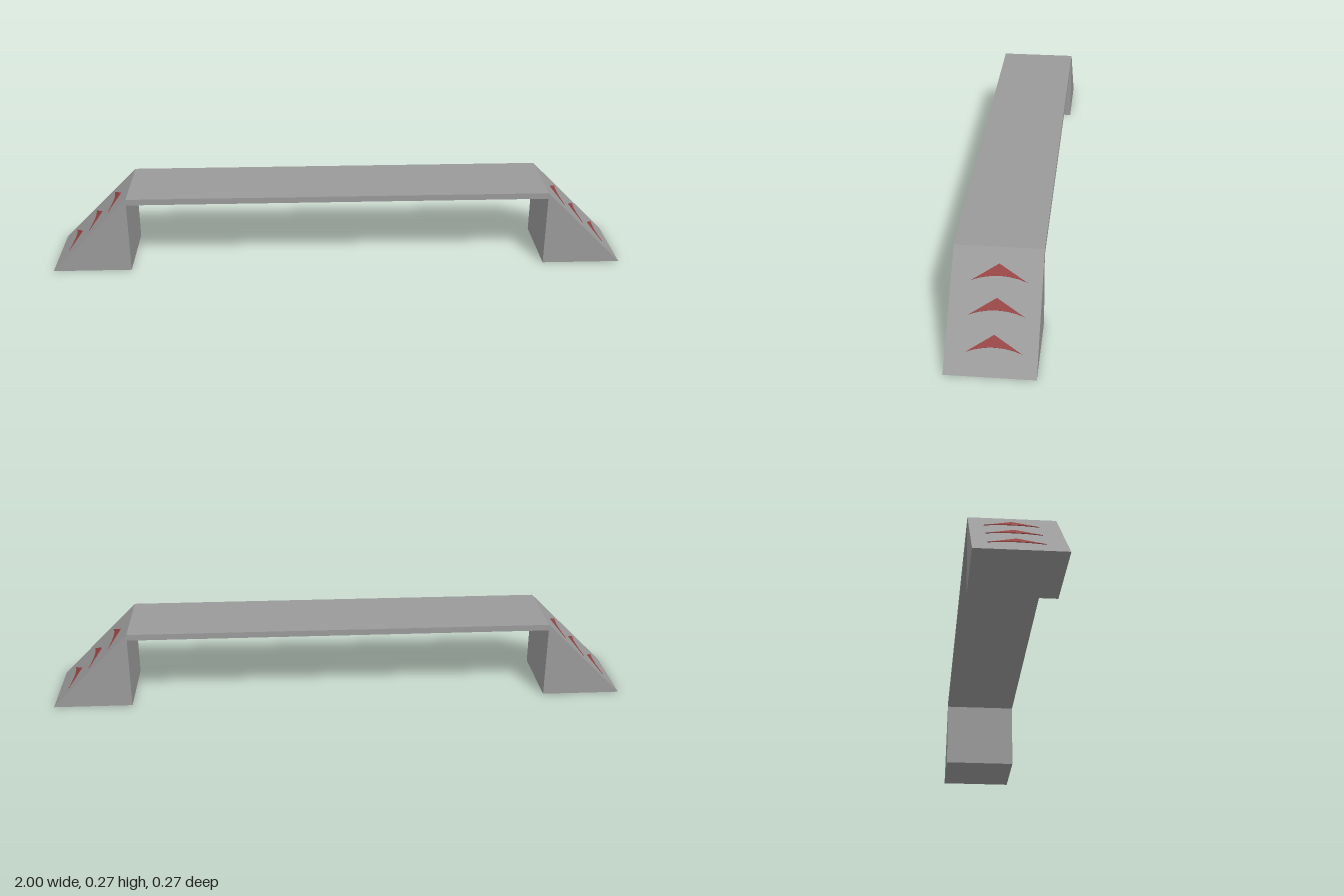
import * as THREE from 'three';

const HEIGHT = 0.27, DEPTH = 0.272, INNER = 0.728, DECK = 0.021;
const RUN = 1 - INNER;
const grey = new THREE.MeshStandardMaterial({ color: 0x9a9a9a, flatShading: true });
const red = new THREE.MeshStandardMaterial({ color: 0x964545, flatShading: true });

// Triangular wedge rising from the outer end to the deck
function ramp(side) {
  const shape = new THREE.Shape([
    new THREE.Vector2(side, 0),
    new THREE.Vector2(side * INNER, HEIGHT),
    new THREE.Vector2(side * INNER, 0),
  ]);
  const geo = new THREE.ExtrudeGeometry(shape, { depth: DEPTH, bevelEnabled: false });
  geo.translate(0, 0, -DEPTH / 2);
  return new THREE.Mesh(geo, grey);
}

// Thin arrowhead with a curved lower edge, lying on the slope
function chevron(side, y) {
  const m = -side; // local x runs along z on one ramp and against it on the other
  const shape = new THREE.Shape();
  shape.moveTo(m * 0.075, 0);
  shape.lineTo(m * -0.005, 0.053);
  shape.lineTo(m * -0.091, 0);
  shape.quadraticCurveTo(m * -0.008, 0.032, m * 0.075, 0);
  const geo = new THREE.ExtrudeGeometry(shape, { depth: 0.003, bevelEnabled: false, curveSegments: 16 });
  geo.translate(0, 0, -0.001);
  const basis = new THREE.Matrix4().makeBasis(
    new THREE.Vector3(0, 0, -side),
    new THREE.Vector3(-side * RUN, HEIGHT, 0).normalize(),
    new THREE.Vector3(side * HEIGHT, RUN, 0).normalize(),
  );
  basis.setPosition(side * (1 - y * RUN / HEIGHT), y, 0);
  geo.applyMatrix4(basis);
  return new THREE.Mesh(geo, red);
}

export function createModel() {
  const model = new THREE.Group();
  model.name = 'rampBridge';

  // Flat deck between the ramps
  const deck = new THREE.Mesh(new THREE.BoxGeometry(INNER * 2, DECK, DEPTH), grey);
  deck.name = 'deck';
  deck.position.y = HEIGHT - DECK / 2;
  model.add(deck);

  // A ramp with three arrows at each end
  for (const side of [1, -1]) {
    const label = side > 0 ? 'left' : 'right';
    const wedge = ramp(side);
    wedge.name = `${label}Ramp`;
    model.add(wedge);
    [0.049, 0.125, 0.197].forEach((y, i) => {
      const arrow = chevron(side, y);
      arrow.name = `${label}Arrow${i + 1}`;
      model.add(arrow);
    });
  }
  return model;
}
